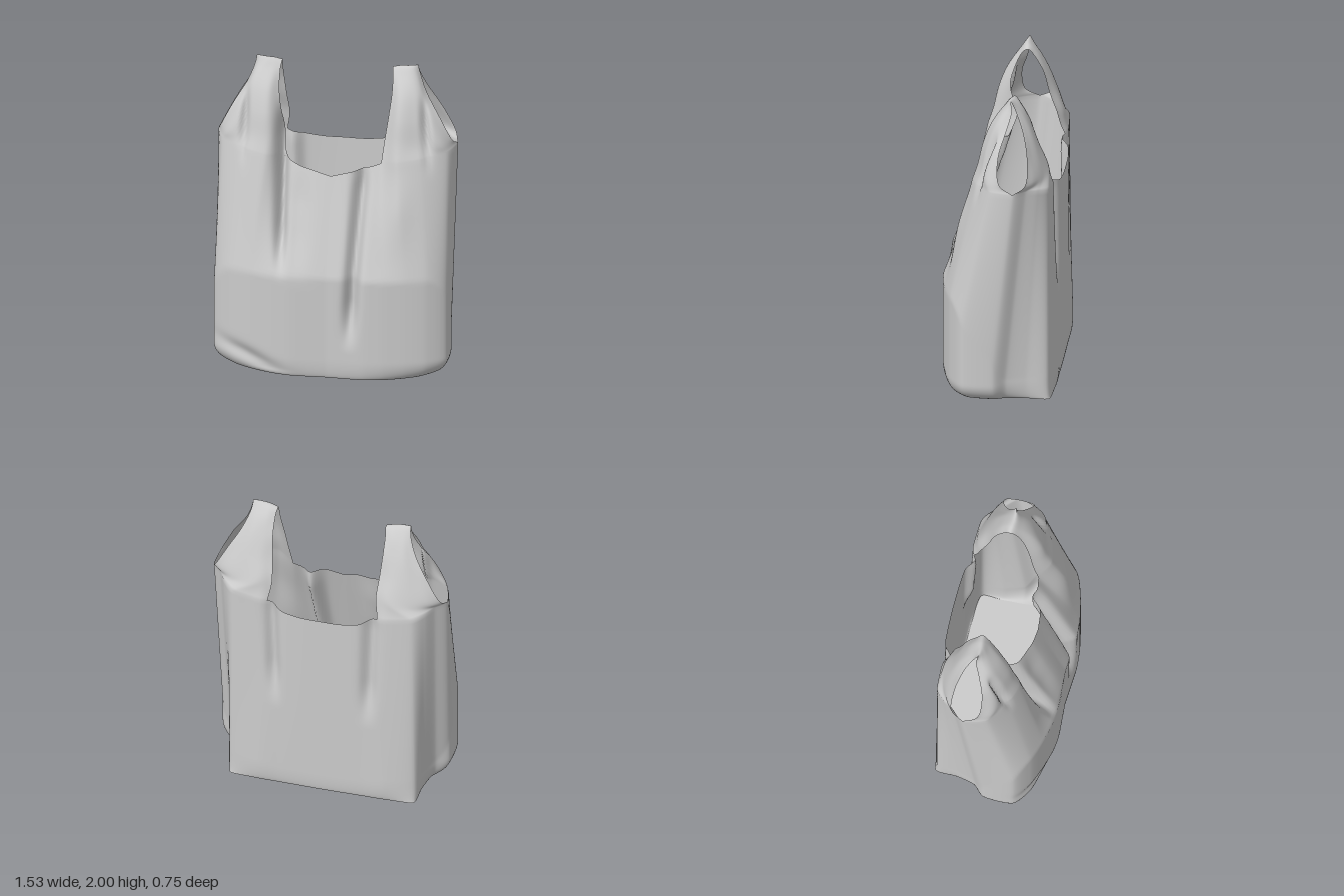
import * as THREE from 'three';
import { mergeVertices } from 'three/addons/utils/BufferGeometryUtils.js';

// Half outlines [x, z] from front centre, round the +x side, to back centre.
const BASE = [[0, .34], [.12, .345], [.24, .345], [.36, .32], [.47, .275], [.55, .22], [.6, .13], [.615, 0],
  [.61, -.07], [.605, -.2], [.6, -.335], [.42, -.35], [.28, -.352], [.14, -.354], [0, -.355]];
const BELLY = [[0, .36], [.12, .368], [.24, .375], [.36, .365], [.5, .335], [.63, .29], [.742, .2], [.742, .01],
  [.67, -.07], [.63, -.19], [.6, -.325], [.42, -.37], [.28, -.37], [.14, -.37], [0, -.37]];
// Rim of the body [x, y, z]: mouth, handle roots and the bottom of the side hole.
const RIM = [[0, 1.31, .18], [.1, 1.335, .17], [.2, 1.35, .14], [.31, 1.39, .11], [.42, 1.42, .17], [.57, 1.44, .13],
  [.72, 1.46, .03], [.763, 1.47, -.12], [.7, 1.47, -.2], [.655, 1.46, -.27], [.58, 1.44, -.33], [.36, 1.4, -.345],
  [.24, 1.36, -.362], [.12, 1.345, -.37], [0, 1.345, -.372]];

// Handle cross-sections, inner edge to outer edge: y, then [x, z] five times.
const HANDLE_FRONT = [
  [1.53, [.325, .07], [.42, .135], [.55, .1], [.67, .06], [.735, -.03]],
  [1.68, [.345, .04], [.42, .1], [.52, .075], [.6, .04], [.66, -.02]],
  [1.82, [.36, 0], [.42, .045], [.5, .03], [.55, 0], [.575, -.06]],
  [1.93, [.36, -.045], [.41, -.03], [.47, -.03], [.51, -.05], [.53, -.09]]];
const HANDLE_TOP = [[.352, 1.973, -.09], [.4, 1.985, -.085], [.44, 1.99, -.08], [.48, 1.995, -.08], [.515, 2, -.085]];
const HANDLE_BACK = [
  [1.93, [.36, -.13], [.41, -.145], [.47, -.14], [.505, -.13], [.525, -.12]],
  [1.82, [.36, -.19], [.42, -.2], [.49, -.2], [.54, -.18], [.57, -.165]],
  [1.68, [.35, -.23], [.43, -.255], [.52, -.25], [.6, -.22], [.65, -.2]],
  [1.53, [.34, -.29], [.44, -.315], [.56, -.29], [.66, -.25], [.73, -.2]]];

// Pleats: face (+1 front, -1 back), x at bottom and top, y range, width, depth.
const PLEATS = [
  [1, -.3, -.335, .64, 1.8, .032, .1],
  [1, -.2, -.2, .6, 1.4, .08, .025],
  [1, .14, .205, .18, 1.5, .04, .085],
  [1, .4, .42, .75, 1.4, .1, -.02],
  [1, -.57, -.565, 1.3, 1.92, .022, .05],
  [1, .62, .55, 1.3, 1.92, .022, .05],
  [-1, -.3, -.33, .55, 1.6, .045, .05],
  [-1, .3, .34, .6, 1.6, .04, .05]];

const SUB = 8, HALF = 14 * SUB, ROWS = 70, HCOLS = 4 * SUB, HROWS = 70;
const { lerp, smoothstep } = THREE.MathUtils;
const spline = (pts, tension = .35) => new THREE.CatmullRomCurve3(pts, false, 'catmullrom', tension);
const flat = list => spline(list.map(([x, z]) => new THREE.Vector3(x, 0, z)));
const baseCurve = flat(BASE), bellyCurve = flat(BELLY);
const rimCurve = spline(RIM.map(p => new THREE.Vector3(...p)));

// Presses the pleats and one dented bottom corner into the film.
function fold(p) {
  const { x, y, z } = p;
  for (const [face, xb, xt, y0, y1, w, depth] of PLEATS) {
    const side = face > 0 ? smoothstep(z, -.06, .06) : 1 - smoothstep(z, -.3, -.18);
    const d = (x - lerp(xb, xt, (y - y0) / (y1 - y0))) / w;
    const fade = smoothstep(y, y0, y0 + .35) * (1 - smoothstep(y, y1 - .3, y1));
    p.z -= face * depth * side * fade * Math.exp(-d * d);
  }
  const dent = (y - .13 + .35 * (x + .55)) / .05;
  p.z -= .03 * smoothstep(z, 0, .15) * smoothstep(y, 0, .05) * Math.exp(-dent * dent - ((x + .5) / .18) ** 2);
  return p;
}

// Point on the body: u runs round half the loop, t from base to rim.
function bodyPoint(u, t) {
  const rim = rimCurve.getPoint(u);
  const y = rim.y * t ** 1.5;
  const s = Math.min(1, y / .13);
  const p = baseCurve.getPoint(u).lerp(bellyCurve.getPoint(u), Math.sqrt(1 - (1 - s) ** 2));
  const start = lerp(.68, .15, smoothstep(u * 14, 5, 8));
  p.lerp(rim, Math.max(0, (y - start) / (rim.y - start)));
  p.y = y;
  return p;
}

function bodyGrid(i, j) {
  const mirrored = j > HALF;
  const p = bodyPoint((mirrored ? 2 * HALF - j : j) / HALF, i / ROWS);
  if (mirrored) p.x *= -1;
  return fold(p);
}

// Handle: cross-sections from the front root over the top to the back root.
function makeHandleCurves() {
  const section = ([y, ...pts]) => spline(pts.map(([x, z]) => new THREE.Vector3(x, y, z)), .5);
  const front = HANDLE_FRONT.map(section), back = HANDLE_BACK.map(section);
  const top = spline(HANDLE_TOP.map(p => new THREE.Vector3(...p)));
  return Array.from({ length: HCOLS + 1 }, (_, j) => {
    const k = j / HCOLS;
    return spline([
      rimCurve.getPoint((3 * SUB + j) / HALF),
      ...[...front, top, ...back].map(c => c.getPoint(k)),
      rimCurve.getPoint((11 * SUB - j) / HALF)], .5);
  });
}

// Adds a grid of quads to the shared vertex list; returns its index range.
function addGrid(data, rows, cols, point, flip = false) {
  const first = data.pos.length / 3, start = data.idx.length;
  for (let i = 0; i <= rows; i++)
    for (let j = 0; j <= cols; j++) data.pos.push(...point(i, j).toArray());
  for (let i = 0; i < rows; i++)
    for (let j = 0; j < cols; j++) {
      const a = first + i * (cols + 1) + j, b = a + 1, c = a + cols + 1, d = c + 1;
      data.idx.push(...(flip ? [a, c, b, b, c, d] : [a, b, c, b, d, c]));
    }
  return [start, data.idx.length];
}

export function createModel() {
  const bag = new THREE.Group();
  bag.name = 'carrierBag';
  const film = new THREE.MeshStandardMaterial({ color: 0xcccccc, side: THREE.DoubleSide });

  // Body and handles share welded vertices, so shading runs on across the joins.
  const data = { pos: [], idx: [] };
  const ranges = { body: addGrid(data, ROWS, 2 * HALF, bodyGrid) };
  const curves = makeHandleCurves();
  for (const [name, s] of [['leftHandle', 1], ['rightHandle', -1]])
    ranges[name] = addGrid(data, HROWS, HCOLS, (i, j) => {
      const p = curves[j].getPoint(i / HROWS);
      p.x *= s;
      return fold(p);
    }, s < 0);

  const raw = new THREE.BufferGeometry();
  raw.setAttribute('position', new THREE.Float32BufferAttribute(data.pos, 3));
  raw.setIndex(data.idx);
  const skin = mergeVertices(raw, 1e-5);
  skin.computeVertexNormals();
  const index = Array.from(skin.index.array);
  for (const [name, [from, to]] of Object.entries(ranges)) {
    const part = new THREE.BufferGeometry();
    part.setAttribute('position', skin.attributes.position);
    part.setAttribute('normal', skin.attributes.normal);
    part.setIndex(index.slice(from, to));
    const mesh = new THREE.Mesh(part, film);
    mesh.name = name;
    bag.add(mesh);
  }

  // Flat base closing the lower outline.
  const outline = Array.from({ length: 2 * HALF }, (_, j) => bodyGrid(0, j));
  const shape = new THREE.Shape(outline.map(p => new THREE.Vector2(p.x, p.z)));
  const base = new THREE.Mesh(new THREE.ShapeGeometry(shape).rotateX(Math.PI / 2), film);
  base.name = 'base';
  bag.add(base);
  return bag;
}
